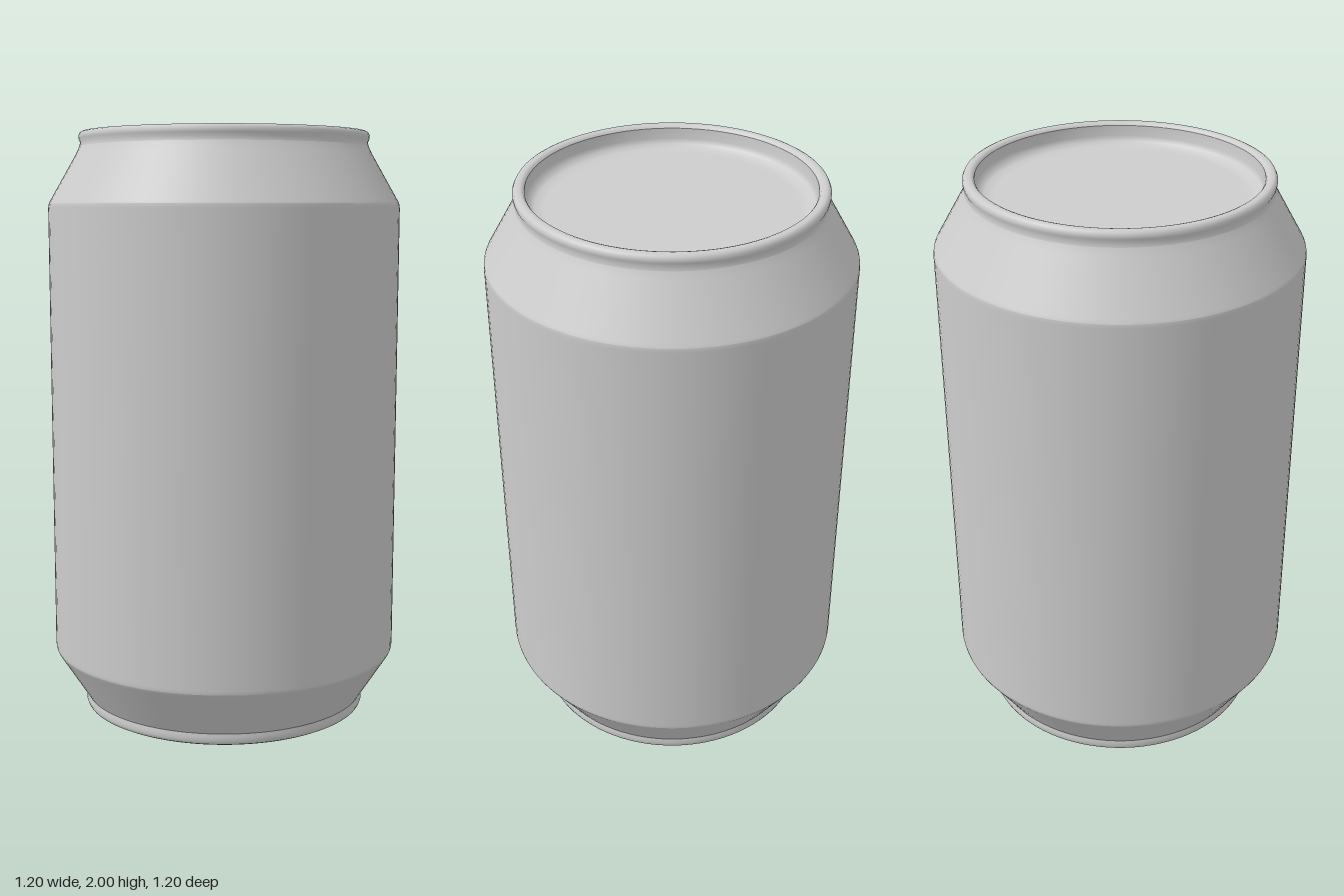
import * as THREE from 'three';

const SEGMENTS = 96;

export function createModel() {
  const can = new THREE.Group();
  can.name = 'drinkCan';

  const aluminium = new THREE.MeshStandardMaterial({ color: 0xcccccc });
  aluminium.name = 'aluminium';

  // Each part is a ring turned from [radius, height] points, listed so faces point outward.
  function turned(name, profile) {
    const points = profile.map(([r, y]) => new THREE.Vector2(r, y));
    const mesh = new THREE.Mesh(new THREE.LatheGeometry(points, SEGMENTS), aluminium);
    mesh.name = name;
    can.add(mesh);
  }

  // Recessed underside, running out to the inner wall of the foot
  turned('bottomPanel', [
    [0, 0.07], [0.36, 0.07], [0.4, 0.064], [0.422, 0.045], [0.432, 0.02], [0.438, 0.008],
  ]);

  // Rounded foot the can stands on
  turned('footRim', [
    [0.438, 0.008], [0.447, 0.001], [0.46, 0], [0.478, 0], [0.489, 0.006],
    [0.494, 0.018], [0.492, 0.032], [0.491, 0.042],
  ]);

  // Lower taper, straight wall and upper shoulder
  turned('lowerTaper', [[0.491, 0.042], [0.497, 0.052], [0.594, 0.203], [0.598, 0.212]]);
  turned('wall', [[0.598, 0.212], [0.6, 0.225], [0.6, 1.745], [0.598, 1.758]]);
  turned('shoulder', [[0.598, 1.758], [0.594, 1.767], [0.503, 1.926], [0.492, 1.95]]);

  // Rolled rim around the lid
  turned('topRim', [
    [0.492, 1.95], [0.489, 1.963], [0.494, 1.975], [0.495, 1.986], [0.49, 1.996],
    [0.482, 2], [0.47, 2], [0.462, 1.997], [0.457, 1.99],
  ]);

  // Sunken lid with a soft inner corner
  turned('lid', [
    [0.457, 1.99], [0.455, 1.955], [0.449, 1.938], [0.43, 1.928], [0.4, 1.925], [0, 1.925],
  ]);

  return can;
}
